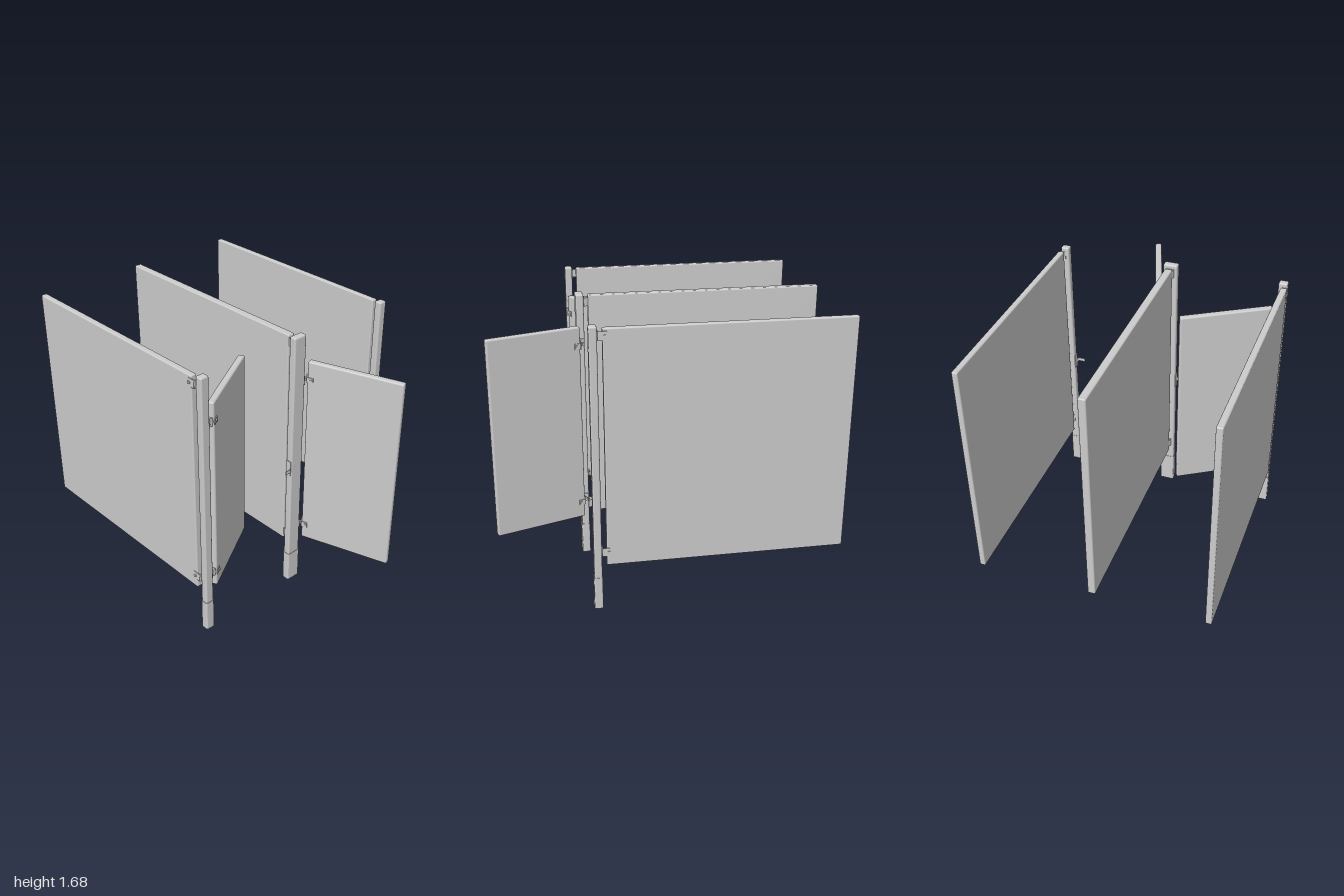
import * as THREE from 'three';
import { RoundedBoxGeometry } from 'three/addons/geometries/RoundedBoxGeometry.js';

const mat = new THREE.MeshStandardMaterial({ color: 0xcccccc });
const POST_Z = 0.44;

function add(parent, name, geo, x, y, z) {
  const m = new THREE.Mesh(geo, mat);
  m.name = name;
  m.position.set(x, y, z);
  parent.add(m);
  return m;
}
const box = (p, name, w, h, d, x, y, z) => add(p, name, new THREE.BoxGeometry(w, h, d), x, y, z);
const rounded = (p, name, w, h, d, r, x, y, z) =>
  add(p, name, new RoundedBoxGeometry(w, h, d, 3, r), x, y, z);

// Upright with a slightly wider shoe at the floor
function post(parent, x, w) {
  const g = new THREE.Group();
  g.name = 'post';
  g.position.set(x, 0, POST_Z);
  rounded(g, 'upright', w, 1.68, 0.046, 0.01, 0, 0.84, 0);
  // shoe: straight sleeve with rounded corners in plan
  const a = w / 2 + 0.002, b = 0.025, r = 0.01, s = new THREE.Shape();
  s.moveTo(-a + r, -b);
  s.lineTo(a - r, -b).quadraticCurveTo(a, -b, a, -b + r);
  s.lineTo(a, b - r).quadraticCurveTo(a, b, a - r, b);
  s.lineTo(-a + r, b).quadraticCurveTo(-a, b, -a, b - r);
  s.lineTo(-a, -b + r).quadraticCurveTo(-a, -b, -a + r, -b);
  const geo = new THREE.ExtrudeGeometry(s, { depth: 0.2, bevelEnabled: false, curveSegments: 4 });
  geo.rotateX(-Math.PI / 2);
  add(g, 'shoe', geo, 0, 0, 0);
  parent.add(g);
}

// Bolt with its head facing along x or z
function bolt(parent, x, y, z, axis) {
  const m = add(parent, 'bolt', new THREE.CylinderGeometry(0.009, 0.009, 0.008, 12), x, y, z);
  if (axis === 'x') m.rotation.z = Math.PI / 2;
  else m.rotation.x = Math.PI / 2;
}

// L bracket joining an outer panel to its post; side is the outward direction
function cornerBracket(parent, x, y, side) {
  const g = new THREE.Group();
  g.name = 'cornerBracket';
  g.position.set(x, y, 0);
  box(g, 'panelPlate', 0.004, 0.05, 0.05, 0, 0, 0.388);
  box(g, 'postPlate', 0.035, 0.05, 0.004, -side * 0.017, 0, 0.414);
  bolt(g, side * 0.004, 0, 0.376, 'x');
  parent.add(g);
}

// U bracket gripping both faces of the middle panel
function channelBracket(parent, y) {
  const g = new THREE.Group();
  g.name = 'channelBracket';
  g.position.set(0, y, 0);
  box(g, 'web', 0.05, 0.05, 0.005, 0, 0, 0.414);
  for (const s of [-1, 1]) {
    const ear = box(g, 'ear', 0.004, 0.05, 0.034, s * 0.02, 0, 0.399);
    ear.rotation.y = s * 0.3;
  }
  parent.add(g);
}

// Door on its hinges; angle turns the free edge about the vertical
function door(parent, x, z, angle, postEdge) {
  const L = 0.567, T = 0.04;
  const g = new THREE.Group();
  g.name = 'door';
  g.position.set(x, 0, z);
  g.rotation.y = angle;
  rounded(g, 'doorLeaf', L, 1.22, T, 0.01, 0, 0.895, 0);
  for (const y of [0.385, 1.39]) {
    for (const s of [-1, 1]) {
      box(g, 'hingeStrap', 0.04, 0.034, 0.004, -L / 2 + 0.018, y, s * (T / 2 + 0.002));
      bolt(g, -L / 2 + 0.026, y, s * (T / 2 + 0.006), 'z');
    }
    add(g, 'hingeBarrel', new THREE.CylinderGeometry(0.01, 0.01, 0.05, 12), -L / 2 - 0.003, y, 0);
  }
  parent.add(g);

  // Hinge arms and clamps that stay on the post
  for (const y of [0.385, 1.39]) {
    box(parent, 'hingeArm', 0.036, 0.016, 0.02, postEdge + 0.014, y, POST_Z);
    box(parent, 'hingePlate', 0.005, 0.055, 0.034, postEdge + 0.002, y, POST_Z);
  }
}

// Keeper plate with a curved tongue that stops the door
function keeper(parent, x) {
  const g = new THREE.Group();
  g.name = 'latchKeeper';
  g.position.set(x, 0.835, 0);
  box(g, 'keeperPlate', 0.005, 0.095, 0.036, 0, 0, POST_Z);
  const s = new THREE.Shape();
  s.moveTo(0, 0.445);
  s.quadraticCurveTo(-0.003, 0.466, -0.018, 0.466);
  s.lineTo(-0.05, 0.466);
  s.lineTo(-0.05, 0.47);
  s.lineTo(-0.016, 0.47);
  s.quadraticCurveTo(0.003, 0.47, 0.003, 0.445);
  const geo = new THREE.ExtrudeGeometry(s, { depth: 0.022, bevelEnabled: false, curveSegments: 6 });
  geo.rotateX(Math.PI / 2);
  add(g, 'tongue', geo, 0, 0.007, 0);
  parent.add(g);
}

export function createModel() {
  const model = new THREE.Group();
  model.name = 'restroomStalls';

  // Uprights
  post(model, -0.688, 0.054);
  post(model, 0, 0.088);
  post(model, 0.685, 0.052);

  // Dividing panels
  for (const [x, t] of [[-0.7, 0.038], [0, 0.046], [0.695, 0.036]])
    rounded(model, 'dividerPanel', t, 1.39, 1.39, 0.008, x, 0.975, -0.305);

  // Panel brackets, upper and lower
  for (const y of [0.365, 1.63]) {
    cornerBracket(model, -0.72, y, -1);
    cornerBracket(model, 0.714, y, 1);
    channelBracket(model, y === 0.365 ? 0.33 : y);
  }

  // Doors: one swung inward, one swung outward
  door(model, -0.3925, 0.2925, THREE.MathUtils.degToRad(31), -0.661);
  door(model, 0.1725, 0.7225, THREE.MathUtils.degToRad(-71.5), 0.044);

  // Latch keepers on the posts opposite the hinges
  keeper(model, -0.046);
  keeper(model, 0.657);

  return model;
}
